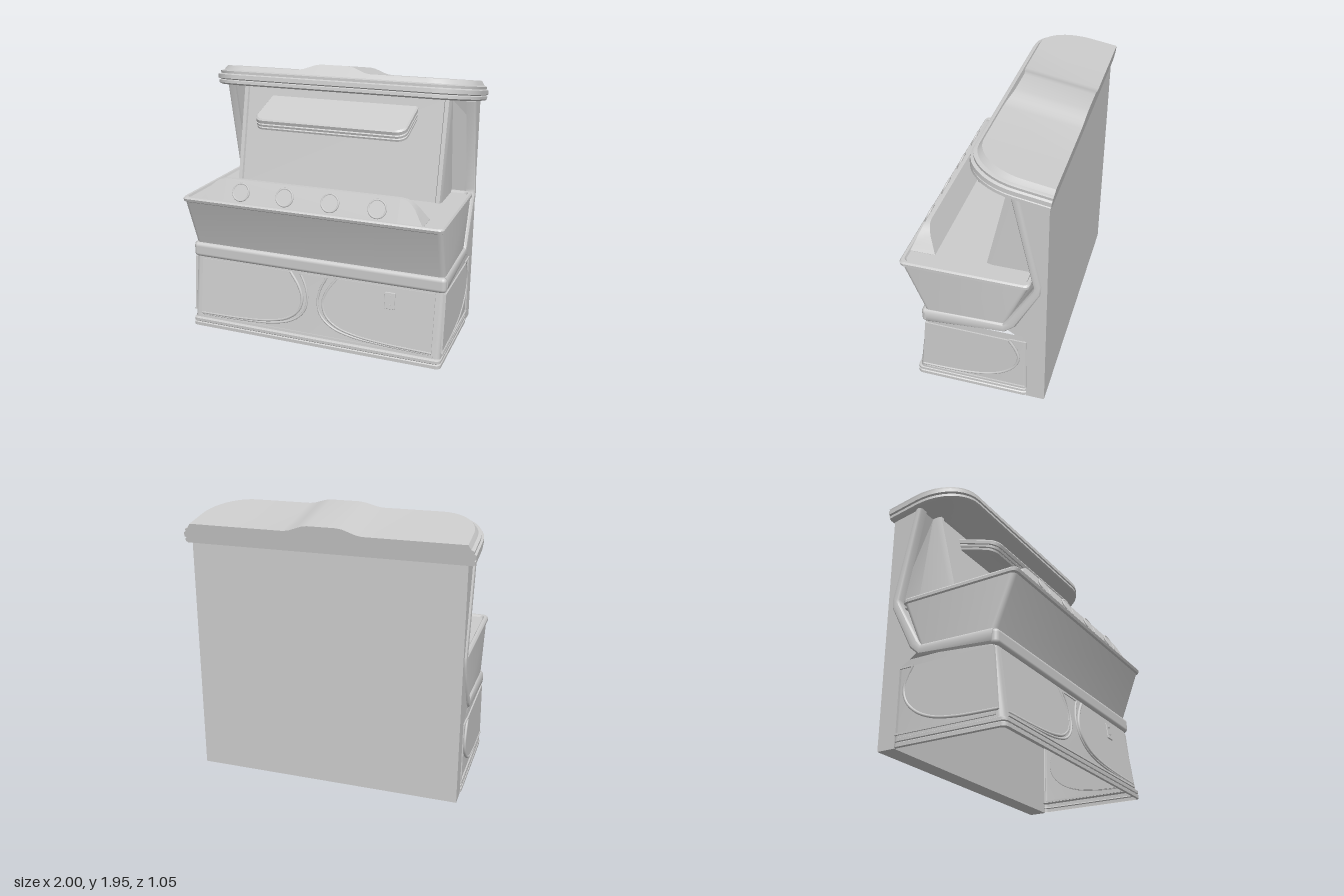
import * as THREE from 'three';
import { toCreasedNormals } from 'three/addons/utils/BufferGeometryUtils.js';
import { RoundedBoxGeometry } from 'three/addons/geometries/RoundedBoxGeometry.js';

const grey = new THREE.MeshStandardMaterial({ color: 0xcccccc, side: THREE.DoubleSide });

function add(parent, name, geometry, x = 0, y = 0, z = 0) {
  const mesh = new THREE.Mesh(geometry, grey);
  mesh.name = name;
  mesh.position.set(x, y, z);
  parent.add(mesh);
  return mesh;
}

function addGroup(parent, name, x = 0, y = 0, z = 0, tilt = 0) {
  const g = new THREE.Group();
  g.name = name;
  g.position.set(x, y, z);
  g.rotation.x = tilt;
  parent.add(g);
  return g;
}

// Skin over closed rings of [x, y, z]; caps join each ring's front half to its back half
function loft(rings, capStart = true, capEnd = true) {
  const n = rings[0].length, index = [];
  const last = (rings.length - 1) * n;
  for (let j = 0; j < rings.length - 1; j++)
    for (let i = 0; i < n; i++) {
      const a = j * n + i, b = j * n + (i + 1) % n;
      index.push(a, b, b + n, a, b + n, a + n);
    }
  for (let i = 0; i < n / 2 - 1; i++) {
    const q = [i, i + 1, n - 2 - i, n - 1 - i];
    if (capStart) index.push(q[0], q[2], q[1], q[0], q[3], q[2]);
    if (capEnd) index.push(...[0, 1, 2, 0, 2, 3].map(k => last + q[k]));
  }
  const g = new THREE.BufferGeometry();
  g.setAttribute('position', new THREE.Float32BufferAttribute(rings.flat(2), 3));
  g.setIndex(index);
  return toCreasedNormals(g, 0.6);
}

// Horizontal rounded rectangle
function roundRect(hw, zBack, zFront, y, r = 0.035) {
  const ring = [];
  const corners = [[-1, zFront - r, Math.PI], [1, zFront - r, Math.PI / 2], [1, zBack + r, 0], [-1, zBack + r, -Math.PI / 2]];
  for (const [s, cz, start] of corners)
    for (let k = 0; k <= 4; k++) {
      const a = start - k * Math.PI / 8;
      ring.push([s * (hw - r) + r * Math.cos(a), y, cz + r * Math.sin(a)]);
    }
  return ring;
}

// Horizontal D outline: straight back at z = 0, rounded front corners, optional raised middle
function dRing(hw, depth, y, rx, rz, hump = 0) {
  const half = [];
  for (let k = 0; k <= 10; k++) {
    const a = k * Math.PI / 20;
    half.push([-hw + rx - rx * Math.cos(a), depth - rz + rz * Math.sin(a)]);
  }
  for (const x of [-0.27, -0.23, -0.185, -0.14, -0.1]) half.push([x, depth]);
  const front = [...half, ...half.map(([x, z]) => [-x, z]).reverse()];
  const rise = x => THREE.MathUtils.smoothstep(0.27 - Math.abs(x), 0, 0.17);
  const point = (x, z) => [x, y + hump * rise(x), z];
  return [...front.map(([x, z]) => point(x, z - 0.6 * hump * rise(x))),
    ...front.map(([x]) => point(x, 0)).reverse()];
}

const dSolid = (profile, hw, depth, rx, rz, hump = 0) => loft(profile.map(([inset, y], i) =>
  dRing(hw - inset, depth - inset, y, rx, rz, i === profile.length - 1 ? hump : 0)));

const curve2D = pts => new THREE.CatmullRomCurve3(pts.map(([x, y]) => new THREE.Vector3(x, y, 0)));
const bead = (pts, r) => new THREE.TubeGeometry(curve2D(pts), 40, r, 8);

// Raised sheet bounded by a smooth curve and some straight corners
function sheet(curvePts, corners, depth) {
  const outline = curve2D(curvePts).getPoints(40).map(p => new THREE.Vector2(p.x, p.y));
  corners.forEach(([x, y]) => outline.push(new THREE.Vector2(x, y)));
  return new THREE.ExtrudeGeometry(new THREE.Shape(outline), { depth, bevelEnabled: false });
}

export function createModel() {
  const model = new THREE.Group();
  model.name = 'cabinet';

  // Rear slab, side profile drawn as (z, y)
  const slab = new THREE.Shape([[-0.49, 0], [-0.36, 0], [-0.36, 0.53], [-0.22, 0.62], [-0.43, 1.04],
    [-0.27, 1.73], [-0.49, 1.7]].map(p => new THREE.Vector2(...p)));
  add(model, 'rearSlab', new THREE.ExtrudeGeometry(slab, { depth: 1.9, bevelEnabled: false }), 0.95).rotation.y = -Math.PI / 2;

  // Hollow lower body and stepped plinth
  add(model, 'lowerBody', loft([roundRect(0.95, -0.37, 0.432, 0.06), roundRect(0.95, -0.37, 0.36, 0.58)], false, false));
  const plinth = [[-0.012, 0], [0, 0.006], [0, 0.03], [-0.008, 0.036], [-0.002, 0.042], [-0.002, 0.062], [-0.016, 0.07], [-0.03, 0.072]];
  add(model, 'plinth', loft(plinth.map(([o, y]) => roundRect(0.958 + o, -0.37, 0.45 + o, y)), false, false));

  // Flared tub with rolled rim and sunken deck
  const tub = [[0.945, -0.2, 0.35, 0.6], [0.947, -0.215, 0.365, 0.66], [0.947, -0.36, 0.497, 1.0], [0.957, -0.37, 0.51, 1.008],
    [0.957, -0.372, 0.517, 1.028], [0.948, -0.365, 0.508, 1.04], [0.93, -0.35, 0.49, 1.04], [0.922, -0.342, 0.482, 1.026]];
  add(model, 'tub', loft(tub.map(t => roundRect(...t)), false, true));

  // Waist moulding: front bar plus side strips that climb to the top
  add(model, 'frontMoulding', new RoundedBoxGeometry(1.92, 0.112, 0.07, 4, 0.03), 0, 0.592, 0.35);
  const path = [[1.73, -0.275, 0.025], [1.05, -0.425, 0.027], [1.0, -0.42, 0.03], [0.68, -0.25, 0.036], [0.63, -0.2, 0.036], [0.595, 0.35, 0.053]];
  const strip = loft(path.map(([y, z, w], i) => {
    const a = path[Math.max(i - 1, 0)], b = path[Math.min(i + 1, path.length - 1)];
    const t = new THREE.Vector2(b[0] - a[0], b[1] - a[1]).normalize();
    return [[0.9, -1], [0.95, -1], [0.962, -0.7], [0.967, 0], [0.962, 0.7], [0.95, 1], [0.9, 1], [0.9, 0]]
      .map(([x, s]) => [x, y + s * w * t.y, z - s * w * t.x]);
  }));

  // Side trim, repeated on both sides
  const sideCurve = [[0.4, 0.115], [0.1, 0.125], [-0.08, 0.155], [-0.2, 0.21], [-0.28, 0.29], [-0.305, 0.38], [-0.28, 0.46], [-0.24, 0.525]];
  for (const s of [1, -1]) {
    const side = addGroup(model, s > 0 ? 'leftSide' : 'rightSide');
    side.scale.x = s;
    add(side, 'sideMoulding', strip);
    add(side, 'sidePanel', sheet(sideCurve, [[0.36, 0.53]], 0.02), 0.96).rotation.y = -Math.PI / 2;
    add(side, 'sideBead', bead(sideCurve, 0.01), 0.957).rotation.y = -Math.PI / 2;
    add(side, 'sideTopBead', new THREE.BoxGeometry(0.014, 0.012, 0.115), 0.953, 0.53, -0.3);
    add(side, 'sideRearBead', new THREE.BoxGeometry(0.014, 0.45, 0.012), 0.951, 0.31, -0.355);
    add(side, 'sideLedge', new THREE.BoxGeometry(0.014, 0.014, 0.74), 0.953, 0.088, 0.01);
  }

  // Front panels on the sloping lower face
  const face = addGroup(model, 'frontPanels', 0, 0.08, 0.43, -0.138);
  const frontCurve = [[0.18, 0.45], [0.11, 0.35], [0.08, 0.26], [0.105, 0.17], [0.19, 0.1], [0.33, 0.06], [0.55, 0.038], [0.89, 0.028]];
  const innerCurve = [[0.1, 0.445], [0.055, 0.35], [0.04, 0.26], [0.065, 0.165], [0.15, 0.09], [0.3, 0.045], [0.55, 0.025], [0.89, 0.016]];
  for (const s of [1, -1]) {
    const half = addGroup(face, s > 0 ? 'leftFrontPanel' : 'rightFrontPanel');
    half.scale.x = s;
    add(half, 'panelSheet', sheet(frontCurve, [[0.89, 0.45]], 0.008));
    add(half, 'outerBead', bead(frontCurve, 0.011));
    add(half, 'innerBead', bead(innerCurve, 0.008));
  }
  add(face, 'funnelTopBead', new THREE.BoxGeometry(0.2, 0.012, 0.014), 0, 0.445, 0);
  add(face, 'frontLedge', new THREE.BoxGeometry(1.8, 0.014, 0.02), 0, 0.006, 0);

  // Coin plate
  const coin = addGroup(face, 'coinPlate', 0.575, 0.355, 0.01);
  add(coin, 'plate', new RoundedBoxGeometry(0.075, 0.12, 0.014, 2, 0.004));
  add(coin, 'button', new THREE.CylinderGeometry(0.01, 0.01, 0.012, 16), 0, 0.035, 0.009).rotation.x = Math.PI / 2;
  add(coin, 'slot', new THREE.BoxGeometry(0.018, 0.006, 0.008), 0, -0.025, 0.007);

  // Control ridge along the front of the deck
  const ridge = [[-0.815, 0.002], [-0.785, 0.045], [-0.75, 0.1], [-0.72, 0.13], [-0.685, 0.152], [-0.64, 0.16]];
  const stations = [...ridge, ...ridge.map(([x, h]) => [-x, h]).reverse()];
  add(model, 'controlRidge', loft(stations.map(([x, h]) => [[x, 1.028, 0.31], [x, 1.028 + h, 0.31 + 0.5 * h],
    [x, 1.028 + h, 0.487 - 0.42 * h], [x, 1.028, 0.487]])));
  for (const x of [-0.505, -0.172, 0.162, 0.497]) {
    const knob = addGroup(model, 'knob', x, 1.108, 0.455, -0.397);
    add(knob, 'knobDisc', new THREE.CylinderGeometry(0.06, 0.062, 0.025, 32)).rotation.x = Math.PI / 2;
    add(knob, 'knobRing', new THREE.TorusGeometry(0.061, 0.007, 8, 32), 0, 0, 0.009);
  }

  // Backbox: sloping display between posts, with flared cheeks
  const boxRing = (y, zGlass, zPost, zFin, zEdge) => {
    const half = [[-0.94, zEdge], [-0.8, zFin], [-0.8, zPost], [-0.79, zGlass], [-0.762, zGlass], [-0.755, zGlass - 0.015]];
    const front = [...half, ...half.map(([x, z]) => [-x, z]).reverse()];
    return [...front.map(([x, z]) => [x, y, z]), ...front.map(([x]) => [x, y, -0.47]).reverse()];
  };
  add(model, 'backbox', loft([boxRing(1.02, -0.04, -0.08, -0.365, -0.44), boxRing(1.735, -0.205, -0.25, -0.27, -0.285)]));

  // Tilted canopy with stepped edge and a raised crown
  const canopy = addGroup(model, 'canopy', 0, 1.69, -0.5, -0.165);
  add(canopy, 'canopyMoulding', dSolid([[0.02, 0], [0.005, 0.01], [0.005, 0.03], [0.016, 0.036], [0, 0.043], [0, 0.072],
    [0.014, 0.08], [0.012, 0.098], [0.032, 0.106]], 1, 0.576, 0.28, 0.34));
  add(canopy, 'canopyCrown', dSolid([[0.03, 0.1], [0.038, 0.115], [0.052, 0.138]], 1, 0.576, 0.27, 0.33, 0.046));

  // Small hood over the display
  const hood = addGroup(model, 'displayHood', 0, 1.587, -0.235, 0.326);
  add(hood, 'hoodShell', dSolid([[0.012, 0], [0, 0.006], [0, 0.02], [0.008, 0.025], [0, 0.03], [0, 0.046], [0.008, 0.051],
    [0, 0.056], [0, 0.08], [0.01, 0.09]], 0.57, 0.35, 0.07, 0.07));
  return model;
}
